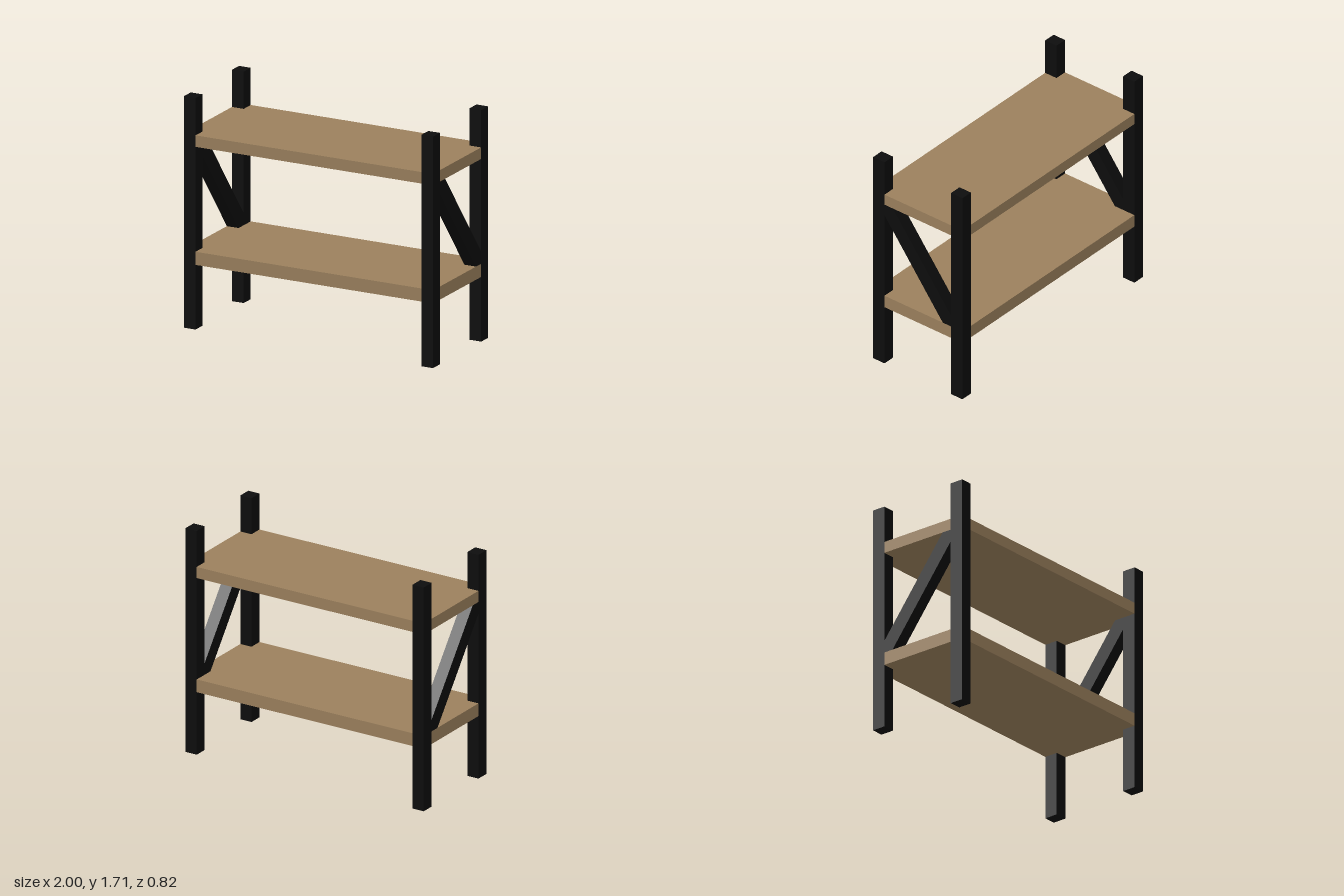
import * as THREE from 'three';

const HALF_X = 1, HALF_Z = 0.408, POST_X = 0.094, POST_Z = 0.104, HEIGHT = 1.71;
const INNER_X = HALF_X - POST_X, INNER_Z = HALF_Z - POST_Z;
const LOWER = [0.478, 0.575], UPPER = [1.35, 1.435];

const polygon = (points) => new THREE.Shape(points.map(([x, y]) => new THREE.Vector2(x, y)));
const extrude = (points, depth) =>
  new THREE.ExtrudeGeometry(polygon(points), { depth, bevelEnabled: false });

export function createModel() {
  const group = new THREE.Group();
  const wood = new THREE.MeshStandardMaterial({ color: 0x9b805d });
  const black = new THREE.MeshStandardMaterial({ color: 0x0d0d0d });

  const add = (name, geometry, material, x, y, z) => {
    const mesh = new THREE.Mesh(geometry, material);
    mesh.name = name;
    mesh.position.set(x, y, z);
    group.add(mesh);
  };

  // Four square corner posts
  const postGeometry = new THREE.BoxGeometry(POST_X, HEIGHT, POST_Z);
  for (const [side, sx] of [['Left', 1], ['Right', -1]]) {
    for (const [end, sz] of [['front', 1], ['back', -1]]) {
      add(`${end}${side}Post`, postGeometry, black,
        sx * (HALF_X - POST_X / 2), HEIGHT / 2, sz * (HALF_Z - POST_Z / 2));
    }
  }

  // Shelves notched around the posts
  const outline = [
    [-INNER_X, -HALF_Z], [INNER_X, -HALF_Z], [INNER_X, -INNER_Z], [HALF_X, -INNER_Z],
    [HALF_X, INNER_Z], [INNER_X, INNER_Z], [INNER_X, HALF_Z], [-INNER_X, HALF_Z],
    [-INNER_X, INNER_Z], [-HALF_X, INNER_Z], [-HALF_X, -INNER_Z], [-INNER_X, -INNER_Z],
  ];
  for (const [name, [bottom, top]] of [['lowerShelf', LOWER], ['upperShelf', UPPER]]) {
    add(name, extrude(outline, top - bottom).rotateX(-Math.PI / 2), wood, 0, bottom, 0);
  }

  // Diagonal side braces, trimmed to the posts and shelves (profile in z, y)
  const y0 = LOWER[1], y1 = UPPER[0], cutZ = 0.075, cutY = 0.09;
  const profile = [
    [INNER_Z, y1], [INNER_Z, y1 - cutY], [-INNER_Z + cutZ, y0],
    [-INNER_Z, y0], [-INNER_Z, y0 + cutY], [INNER_Z - cutZ, y1],
  ].map(([z, y]) => [-z, y]);
  const brace = extrude(profile, POST_X).translate(0, 0, -POST_X / 2).rotateY(Math.PI / 2);
  for (const [name, sx] of [['leftBrace', 1], ['rightBrace', -1]]) {
    add(name, brace, black, sx * (HALF_X - POST_X / 2), 0, 0);
  }

  return group;
}
